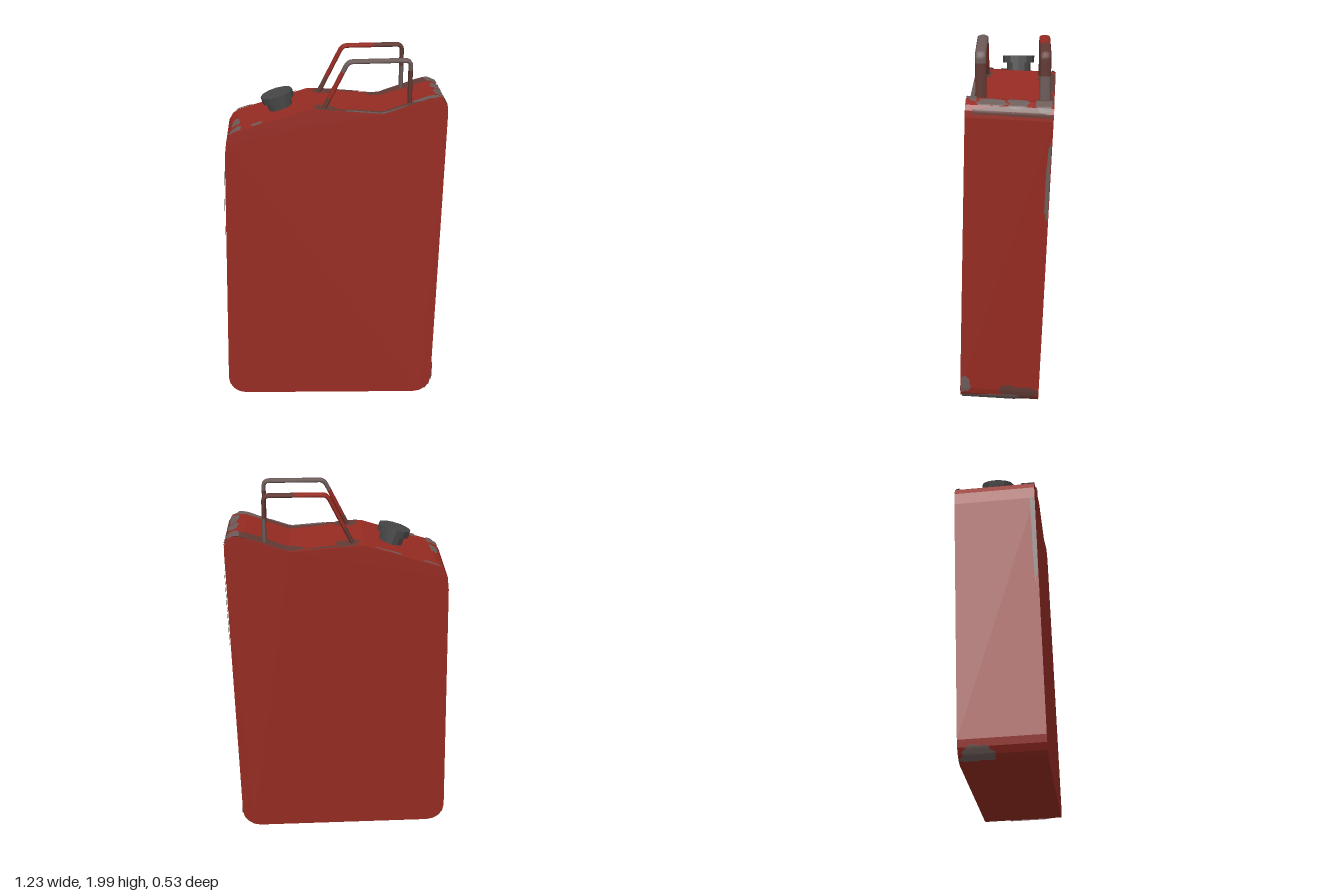
import * as THREE from 'three';

const mat = (name, color, side = THREE.FrontSide) =>
  Object.assign(new THREE.MeshStandardMaterial({ color, side }), { name });

const HALF = 0.2175; // half the body depth

// Side outline of the can, counter-clockwise, centred on the body
function outline() {
  const pts = [];
  const corner = (cx, cy, r, a0) => {
    for (let i = 0; i <= 4; i++) {
      const a = a0 + (i / 4) * (Math.PI / 2);
      pts.push(new THREE.Vector2(cx + r * Math.cos(a), cy + r * Math.sin(a)));
    }
  };
  corner(-0.488, -0.77, 0.1, Math.PI);
  corner(0.486, -0.77, 0.1, Math.PI * 1.5);
  [[0.586, 0.83], [0.582, 0.865], [0.566, 0.89], [0.526, 0.906], [0.486, 0.9],
   [0.248, 0.814], [-0.143, 0.839], [-0.525, 0.714], [-0.56, 0.69],
   [-0.581, 0.65], [-0.588, 0.58]].forEach(([x, y]) => pts.push(new THREE.Vector2(x, y)));
  const shape = new THREE.Shape(pts);
  shape.closePath();
  return shape;
}

export function createModel() {
  const model = new THREE.Group();
  const red = mat('red paint', 0x962b22);
  const worn = mat('worn paint', 0x623a34, THREE.DoubleSide);
  const metal = mat('bare metal', 0x6d5c59, THREE.DoubleSide);
  const black = mat('cap grey', 0x464646);

  const add = (parent, name, geo, material) => {
    const mesh = new THREE.Mesh(geo, material);
    mesh.name = name;
    parent.add(mesh);
    return mesh;
  };

  // Slightly leaning body
  const can = new THREE.Group();
  can.name = 'can';
  can.position.y = 0.9;
  can.rotation.set(-0.035, -0.038, -0.025);
  model.add(can);
  const shape = outline();
  const bodyGeo = new THREE.ExtrudeGeometry(shape, { depth: HALF * 2, bevelEnabled: false });
  bodyGeo.translate(0, 0, -HALF);
  add(can, 'body', bodyGeo, red);

  // Worn patches: wobbly discs wrapped round the outline
  const ring = shape.getSpacedPoints(600);
  const N = 600, step = shape.getLength() / N;
  const at = (i) => ring[((i % N) + N) % N];
  const patch = (material, x, y, z, length, width, seed, lift = 0.004) => {
    let best = 0;
    for (let i = 1; i < N; i++) {
      if (Math.hypot(at(i).x - x, at(i).y - y) < Math.hypot(at(best).x - x, at(best).y - y)) best = i;
    }
    const geo = new THREE.RingGeometry(0.02, 1, 28, 6);
    const p = geo.attributes.position;
    for (let k = 0; k < p.count; k++) {
      const u = p.getX(k), v = p.getY(k), a = Math.atan2(v, u);
      const wobble = 1 + 0.12 * Math.sin(3 * a + seed) + 0.08 * Math.sin(7 * a + seed * 2);
      const square = 1 / Math.pow(u ** 4 + v ** 4, 0.25) * Math.hypot(u, v);
      const s = best + (u * wobble * square * length) / step;
      const i = Math.floor(s);
      const q = at(i).clone().lerp(at(i + 1), s - i);
      const t = at(i + 2).clone().sub(at(i - 1)).normalize();
      const w = THREE.MathUtils.clamp(z + v * wobble * square * width, -HALF, HALF);
      p.setXYZ(k, q.x + t.y * lift, q.y - t.x * lift, w);
    }
    geo.computeVertexNormals();
    add(can, 'wearPatch', geo, material);
  };
  [ // material, x, y, z, half length, half width
    [worn, -0.06, 0.834, -0.17, 0.06, 0.05],
    [worn, 0.37, 0.86, -0.18, 0.19, 0.05],
    [worn, 0.05, 0.827, -0.205, 0.09, 0.016],
    [worn, -0.06, 0.834, 0.18, 0.06, 0.05],
    [worn, 0.25, 0.814, 0.195, 0.24, 0.03],
    [worn, 0.58, 0.87, -0.02, 0.022, 0.19],
    [metal, 0.545, 0.9, -0.17, 0.045, 0.04],
    [metal, 0.55, 0.9, -0.04, 0.03, 0.05],
    [metal, 0.545, 0.9, 0.09, 0.025, 0.07],
    [metal, 0.48, 0.895, 0.19, 0.07, 0.025],
    [metal, 0.2, 0.817, 0.208, 0.16, 0.012],
    [metal, -0.535, 0.708, 0.05, 0.022, 0.055],
    [metal, -0.53, 0.71, 0.18, 0.035, 0.035],
    [metal, -0.42, 0.75, 0.195, 0.03, 0.022],
    [metal, -0.28, 0.795, -0.207, 0.07, 0.01],
    [metal, -0.5, 0.72, -0.207, 0.05, 0.01],
    [metal, -0.588, 0.35, 0.205, 0.25, 0.012],
    [metal, 0.557, -0.84, 0.05, 0.045, 0.15],
    [worn, 0.58, -0.79, -0.1, 0.05, 0.1],
    [metal, 0.586, -0.74, 0.19, 0.05, 0.025],
    [metal, 0.586, 0.5, -0.205, 0.2, 0.01],
    [metal, -0.557, -0.84, -0.12, 0.04, 0.08],
  ].forEach(([m, ...r], i) => patch(m, ...r, i * 1.7, m === metal ? 0.006 : 0.004));

  // Pair of flat bar handles, with paint rubbed off by lengths
  const V = (x, y) => new THREE.Vector3(x, y, 0);
  const path = new THREE.CurvePath();
  path.add(new THREE.LineCurve3(V(-0.062, 1.72), V(0.058, 1.955)));
  path.add(new THREE.QuadraticBezierCurve3(V(0.058, 1.955), V(0.073, 1.989), V(0.1, 1.989)));
  path.add(new THREE.LineCurve3(V(0.1, 1.989), V(0.375, 1.989)));
  path.add(new THREE.QuadraticBezierCurve3(V(0.375, 1.989), V(0.403, 1.989), V(0.403, 1.96)));
  path.add(new THREE.LineCurve3(V(0.403, 1.96), V(0.403, 1.72)));
  const SEG = 80, SIDES = 10;
  const handle = (name, z, paint) => {
    const geo = new THREE.TubeGeometry(path, SEG, 0.0115, SIDES);
    geo.scale(1, 1, 2.45);
    geo.translate(0, 0, z);
    paint.forEach(([from, to, m]) => geo.addGroup(from * SIDES * 6, (to - from) * SIDES * 6, m));
    add(model, name, geo, [red, worn, metal]);
  };
  handle('frontHandle', 0.138, [[0, 8, 1], [8, 22, 0], [22, 60, 2], [60, 80, 1]]);
  handle('backHandle', -0.184, [[0, 10, 1], [10, 42, 0], [42, 66, 1], [66, 80, 2]]);

  // Screw cap on a short neck, square to the sloping shoulder
  const cap = new THREE.Group();
  cap.name = 'cap';
  cap.position.set(-0.274, 1.7, -0.046);
  cap.rotation.z = 0.27;
  model.add(cap);
  [['neck', 0.066, -0.03, 0.045], ['lid', 0.088, 0.04, 0.078]].forEach(([name, r, y0, y1]) => {
    const geo = new THREE.CylinderGeometry(r, r, y1 - y0, 12).toNonIndexed();
    geo.computeVertexNormals();
    geo.translate(0, (y0 + y1) / 2, 0);
    add(cap, name, geo, black);
  });

  return model;
}
